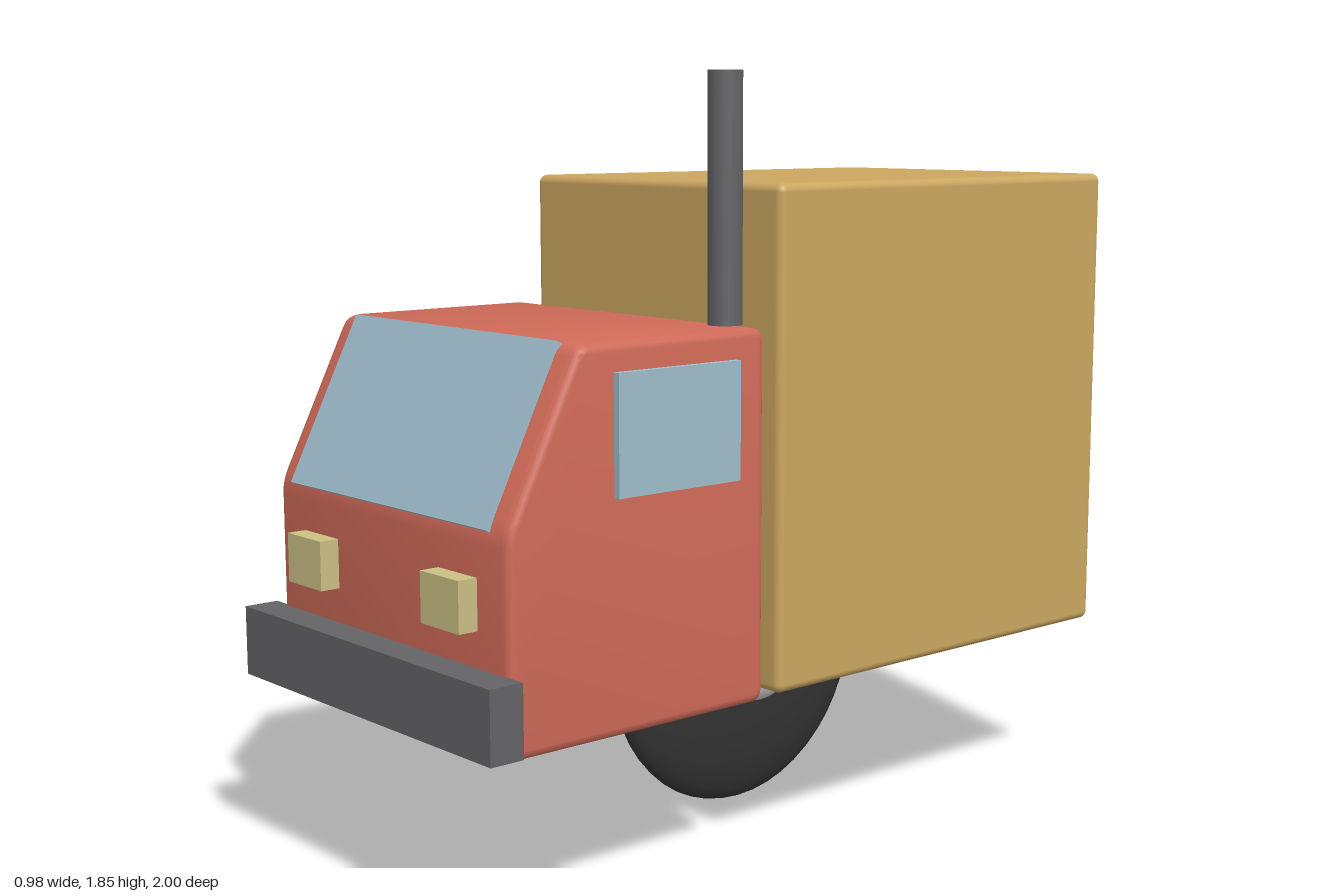
import * as THREE from 'three';
import { toCreasedNormals } from 'three/addons/utils/BufferGeometryUtils.js';
import { RoundedBoxGeometry } from 'three/addons/geometries/RoundedBoxGeometry.js';

const material = (name, color) => {
  const m = new THREE.MeshStandardMaterial({ color });
  m.name = name;
  return m;
};

// Closed outline whose corners are rounded by r
function roundedShape(points, r) {
  const shape = new THREE.Shape();
  const p = points.map(([x, y]) => new THREE.Vector2(x, y));
  p.forEach((corner, i) => {
    const toward = (q) => corner.clone().add(q.clone().sub(corner).setLength(r));
    const a = toward(p[(i + p.length - 1) % p.length]);
    const b = toward(p[(i + 1) % p.length]);
    if (i === 0) shape.moveTo(a.x, a.y);
    else shape.lineTo(a.x, a.y);
    shape.quadraticCurveTo(corner.x, corner.y, b.x, b.y);
  });
  shape.closePath();
  return shape;
}

export function createModel() {
  const group = new THREE.Group();
  group.name = 'truck';

  const red = material('cab red', 0xcf6a58);
  const tan = material('cargo tan', 0xcba660);
  const glass = material('window blue', 0x9dbdcb);
  const cream = material('headlight cream', 0xcabf84);
  const grey = material('metal grey', 0x646467);
  const black = material('tyre black', 0x343434);
  const silver = material('hub silver', 0xcfcfd1);

  const add = (name, geometry, mat, x, y, z) => {
    const mesh = new THREE.Mesh(geometry, mat);
    mesh.name = name;
    mesh.position.set(x, y, z);
    group.add(mesh);
    return mesh;
  };
  const box = (name, mat, w, h, d, x, y, z) =>
    add(name, new THREE.BoxGeometry(w, h, d), mat, x, y, z);
  // Ellipsoid with its poles along x
  const ellipsoid = (rx, r) =>
    new THREE.SphereGeometry(1, 48, 24).rotateZ(Math.PI / 2).scale(rx, r, r);

  // Cargo box
  add('cargoBox', new RoundedBoxGeometry(0.9, 1.18, 1.15, 3, 0.02), tan, 0, 1.01, -0.425);

  // Cab: side profile (z, y) extruded across the width
  const bevel = 0.02;
  const profile = roundedShape(
    [[0.195, 0.415], [0.92, 0.415], [0.92, 0.9], [0.73, 1.28], [0.195, 1.28]], 0.03);
  const cab = new THREE.ExtrudeGeometry(profile, {
    depth: 0.9 - 2 * bevel, curveSegments: 4,
    bevelSize: bevel, bevelThickness: bevel, bevelOffset: -bevel, bevelSegments: 3,
  });
  cab.translate(0, 0, bevel - 0.45).rotateY(-Math.PI / 2);
  add('cab', toCreasedNormals(cab, 0.6), red, 0, 0, 0);

  // Windscreen lying on the sloped front
  const windscreen = box('windscreen', glass, 0.77, 0.425, 0.02, 0, 1.09, 0.825);
  windscreen.rotation.x = -Math.atan2(0.19, 0.38);

  // Parts on both sides
  for (const [side, s] of [['left', 1], ['right', -1]]) {
    box(side + 'Window', glass, 0.03, 0.27, 0.35, s * 0.452, 1.08, 0.462);
    box(side + 'Headlight', cream, 0.14, 0.115, 0.06, s * 0.27, 0.738, 0.938);
    add(side + 'Hub', ellipsoid(0.055, 0.13), silver, s * 0.085, 0.41, -0.13);
  }

  // Bumper and exhaust stack
  box('bumper', grey, 0.98, 0.165, 0.085, 0, 0.517, 0.9575);
  add('exhaust', new THREE.CylinderGeometry(0.04, 0.04, 0.57, 24), grey, 0.34, 1.565, 0.22);

  // Single lens-shaped wheel
  add('wheel', ellipsoid(0.085, 0.405), black, 0, 0.41, -0.13);

  // Stand exactly on the ground
  group.children.forEach((part) => { part.position.y -= 0.005; });
  return group;
}
